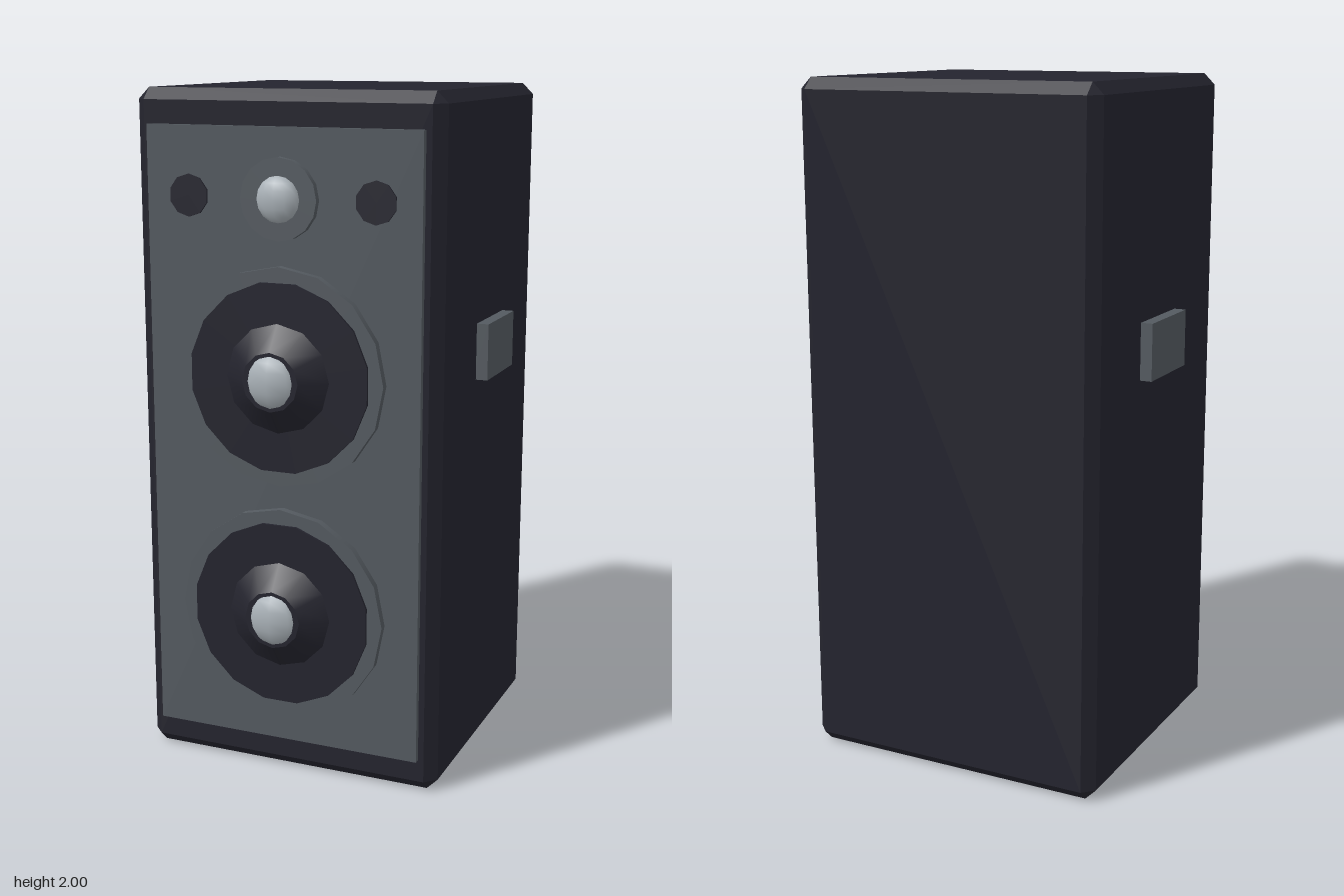
import * as THREE from 'three';
import { ConvexGeometry } from 'three/addons/geometries/ConvexGeometry.js';

function material(name, color) {
  const m = new THREE.MeshStandardMaterial({ color });
  m.name = name;
  return m;
}

export function createModel() {
  const model = new THREE.Group();
  model.name = 'loudspeaker';
  const dark = material('dark cabinet', 0x24242e);
  const grey = material('slate grey', 0x545a60);
  const silver = material('silver', 0xaab2b8);

  function add(parent, name, geometry, mat, x, y, z) {
    const mesh = new THREE.Mesh(geometry, mat);
    mesh.name = name;
    mesh.position.set(x, y, z);
    parent.add(mesh);
    return mesh;
  }

  // Disc or frustum facing forward, spanning z0 to z1
  function disc(parent, name, rBack, rFront, z0, z1, sides, mat, x, y, turn = 0) {
    const g = new THREE.CylinderGeometry(rFront, rBack, z1 - z0, sides);
    g.rotateY(turn).rotateX(Math.PI / 2);
    return add(parent, name, g, mat, x, y, (z0 + z1) / 2);
  }

  // Flattened dome, bulging forward
  function dome(parent, name, r, depth, sides, x, y, z) {
    const g = new THREE.SphereGeometry(r, sides, 8);
    g.scale(1, 1, depth / r);
    return add(parent, name, g, silver, x, y, z);
  }

  // Box with chamfered edges
  function chamferBox(w, h, d, c) {
    const points = [];
    for (const sx of [-1, 1]) for (const sy of [-1, 1]) for (const sz of [-1, 1]) {
      for (let axis = 0; axis < 3; axis++) {
        const inset = [c, c, c];
        inset[axis] = 0;
        points.push(new THREE.Vector3(
          sx * (w / 2 - inset[0]), sy * (h / 2 - inset[1]), sz * (d / 2 - inset[2])));
      }
    }
    return new ConvexGeometry(points);
  }

  // Cabinet and front panel
  add(model, 'cabinet', chamferBox(0.93, 2, 0.865, 0.033), dark, 0, 1, -0.0625);
  add(model, 'frontPanel', new THREE.BoxGeometry(0.83, 1.8, 0.03), grey, 0, 1, 0.373);

  // Woofers
  for (const [name, y] of [['upperWoofer', 1.205], ['lowerWoofer', 0.505]]) {
    const woofer = new THREE.Group();
    woofer.name = name;
    woofer.position.y = y;
    model.add(woofer);
    disc(woofer, 'wooferRing', 0.315, 0.315, 0.38, 0.412, 16, grey, 0, 0);
    disc(woofer, 'wooferSurround', 0.275, 0.275, 0.39, 0.42, 16, dark, 0, 0, Math.PI / 16);
    disc(woofer, 'wooferCone', 0.16, 0.085, 0.418, 0.472, 12, dark, 0, 0);
    dome(woofer, 'wooferCap', 0.08, 0.04, 8, 0, 0, 0.457);
  }

  // Tweeter
  disc(model, 'tweeterRing', 0.115, 0.115, 0.38, 0.408, 16, grey, 0, 1.705);
  dome(model, 'tweeterDome', 0.065, 0.033, 12, 0, 1.705, 0.407);

  // Ports and side handles
  for (const [side, s] of [['left', 1], ['right', -1]]) {
    disc(model, side + 'Port', 0.06, 0.06, 0.38, 0.394, 10, dark, s * 0.283, 1.705);
    add(model, side + 'Handle', new THREE.BoxGeometry(0.045, 0.165, 0.25), grey,
      s * 0.4775, 1.2525, -0.07);
  }
  return model;
}
